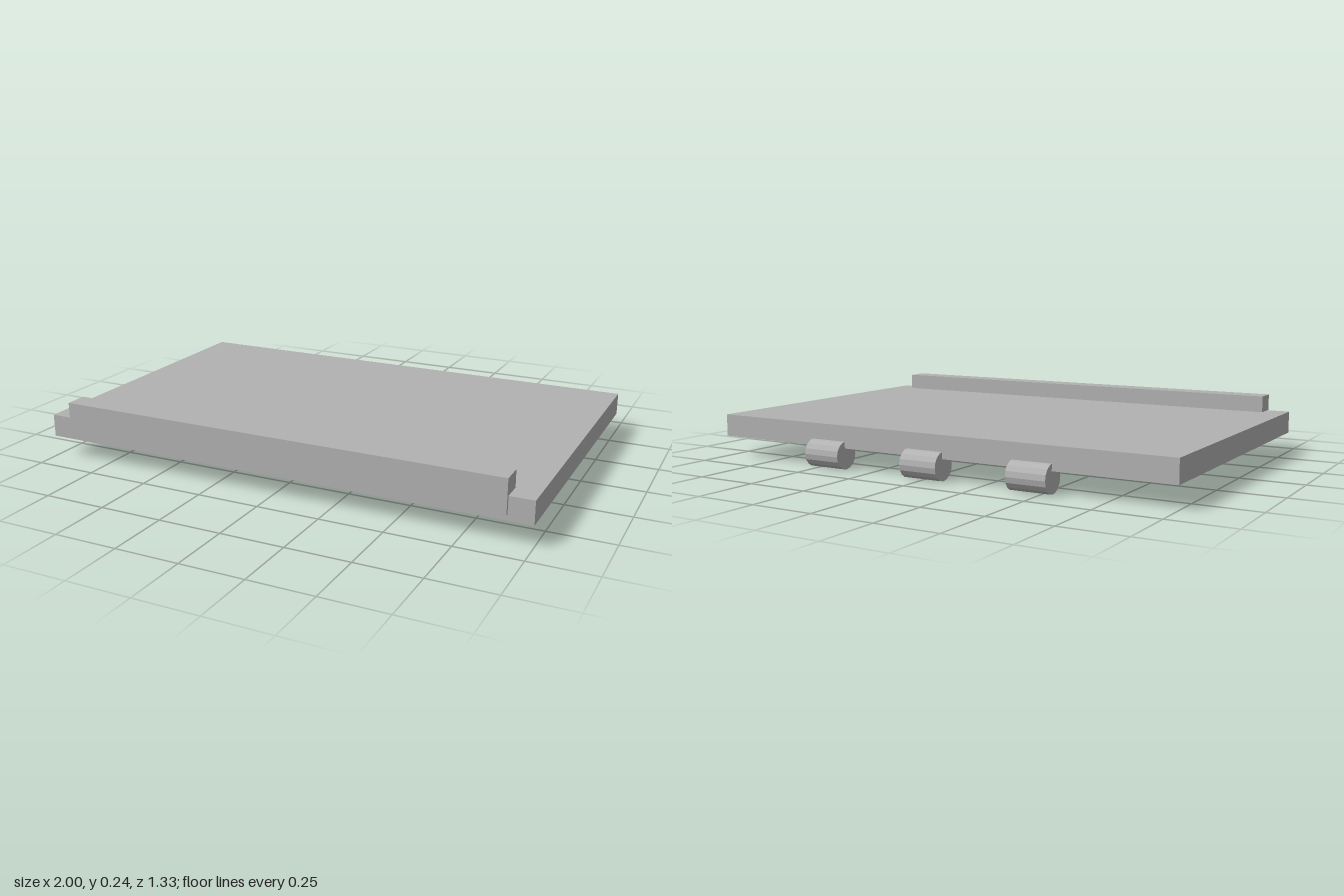
import * as THREE from 'three';

export function createModel() {
  const model = new THREE.Group();
  model.name = 'hingedLid';

  const grey = new THREE.MeshStandardMaterial({ color: 0xb2b2b2 });
  grey.name = 'grey';
  const facetedGrey = grey; // one colour throughout

  const add = (name, geometry, x, y, z) => {
    const mesh = new THREE.Mesh(geometry, facetedGrey);
    mesh.name = name;
    mesh.position.set(x, y, z);
    model.add(mesh);
    return mesh;
  };

  // Box given by its half width and its y and z ranges, centred on x
  const slab = (name, halfWidth, y0, y1, z0, z1) =>
    add(name, new THREE.BoxGeometry(halfWidth * 2, y1 - y0, z1 - z0), 0, (y0 + y1) / 2, (z0 + z1) / 2);

  // Main lid, the shallow panel under it and the raised lip along the front
  slab('lid', 1, 0.085, 0.175, -0.617, 0.653);
  slab('innerPanel', 0.795, 0.062, 0.09, -0.434, 0.473);
  slab('frontLip', 0.907, 0.107, 0.242, 0.575, 0.665);

  // Three faceted hinge barrels along the back edge
  const barrel = new THREE.CylinderGeometry(0.056, 0.056, 0.16, 16)
    .rotateZ(Math.PI / 2)
    .toNonIndexed();
  barrel.computeVertexNormals();
  ['rightHinge', 'middleHinge', 'leftHinge'].forEach((name, i) =>
    add(name, barrel, (i - 1) * 0.455, 0.057, -0.609));

  return model;
}
